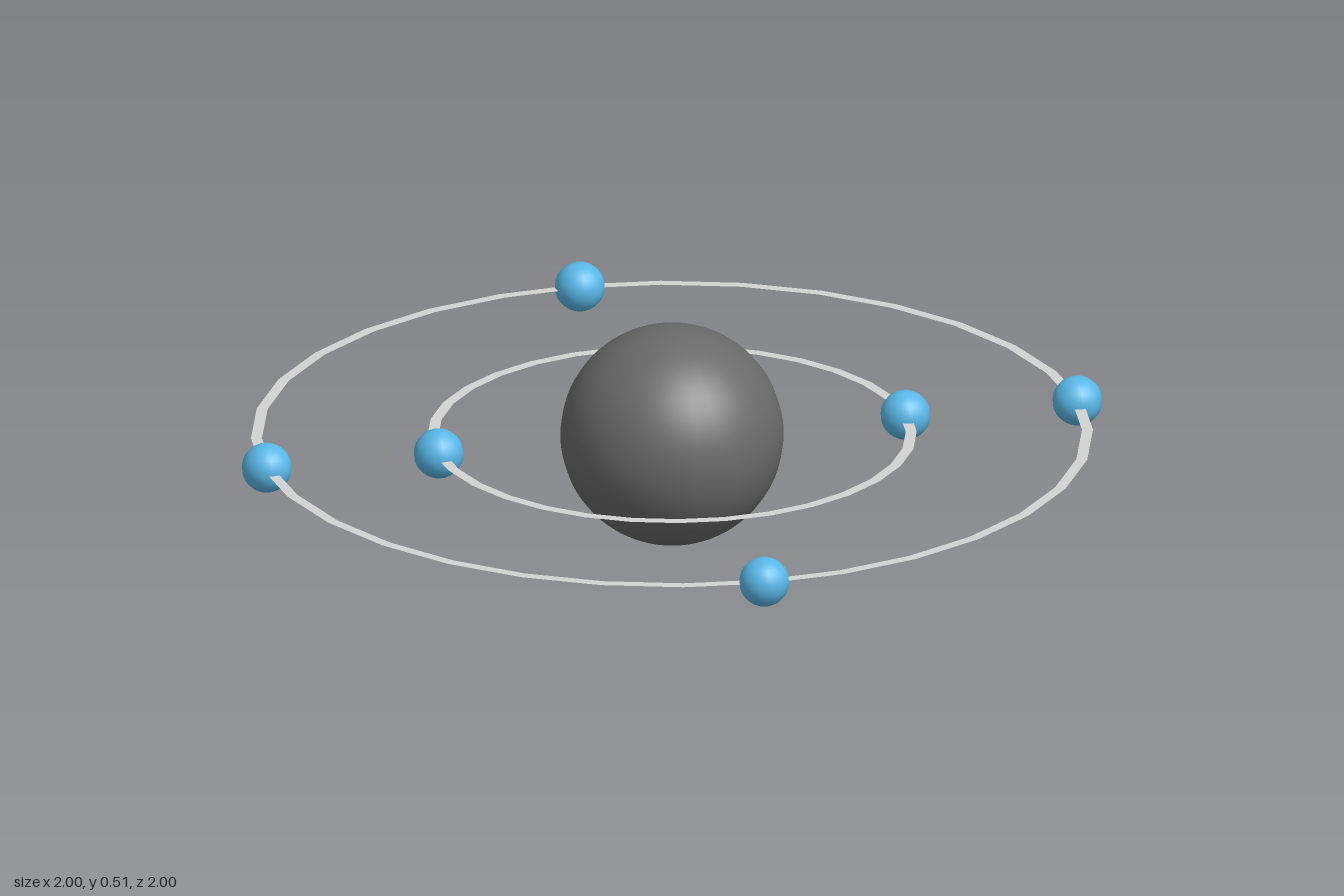
import * as THREE from 'three';

const NUCLEUS_RADIUS = 0.2535;

function material(name, color, side = THREE.FrontSide) {
  const m = new THREE.MeshStandardMaterial({ color, side });
  m.name = name;
  return m;
}

export function createModel() {
  const model = new THREE.Group();
  model.name = 'orbitModel';

  const grey = material('darkGrey', 0x696969);
  const blue = material('blue', 0x5ab9ea);
  const silver = material('silver', 0xd3d3d3, THREE.DoubleSide);

  const add = (name, geometry, mat, x = 0, z = 0) => {
    const mesh = new THREE.Mesh(geometry, mat);
    mesh.name = name;
    mesh.position.set(x, NUCLEUS_RADIUS, z);
    model.add(mesh);
  };

  // Central ball
  add('nucleus', new THREE.SphereGeometry(NUCLEUS_RADIUS, 32, 32), grey);

  // Flat orbit rings, each with evenly spaced small balls along its middle
  const ball = new THREE.SphereGeometry(0.057, 16, 16);
  const orbits = [
    { name: 'inner', radius: 0.543, count: 2 },
    { name: 'outer', radius: 0.943, count: 4 },
  ];
  for (const { name, radius, count } of orbits) {
    const ring = new THREE.RingGeometry(radius - 0.0125, radius + 0.0125, 32);
    ring.rotateX(-Math.PI / 2);
    add(`${name}Orbit`, ring, silver);
    for (let i = 0; i < count; i++) {
      const a = (i / count) * Math.PI * 2;
      add(`${name}Electron${i + 1}`, ball, blue, Math.cos(a) * radius, Math.sin(a) * radius);
    }
  }
  return model;
}
